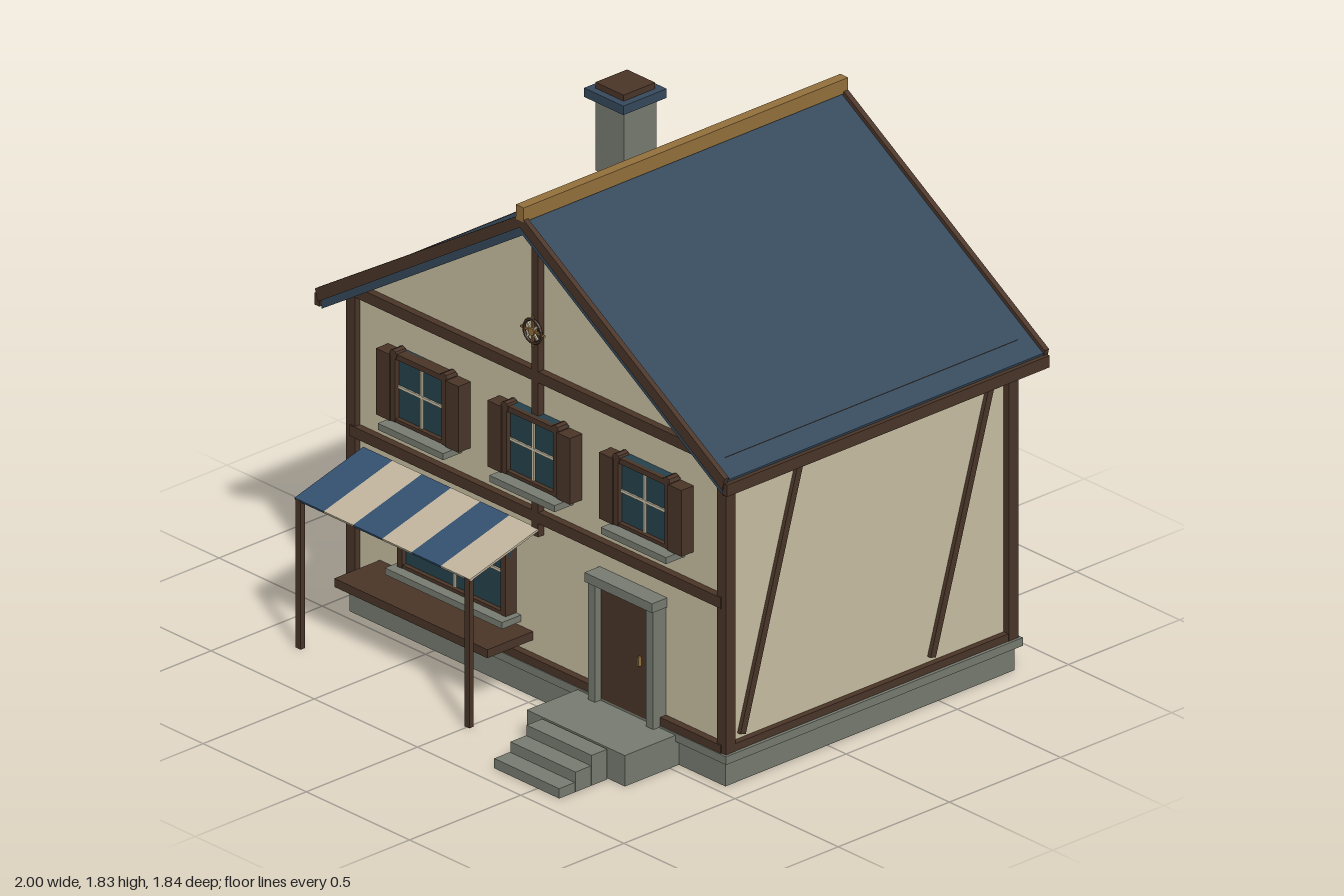
import * as THREE from 'three';

const mat = (color, side = THREE.FrontSide) => new THREE.MeshStandardMaterial({ color, side, flatShading: true });

export function createModel() {
  const house = new THREE.Group();
  house.name = 'timberHouse';
  const wall = mat(0xc8bfa2), timber = mat(0x4a3528), slate = mat(0x35495c), stone = mat(0x777b70);
  const glass = mat(0x25424d), gold = mat(0x94703c), cream = mat(0xc9bfa6);
  const awningBlue = mat(0x34506f), awningCream = mat(0xc0b49c);

  const add = (name, geo, material, parent = house) => {
    const m = new THREE.Mesh(geo, material);
    m.name = name;
    parent.add(m);
    return m;
  };
  // Box given by its extents on each axis
  const box = (name, material, x0, x1, y0, y1, z0, z1, parent = house) => {
    const m = add(name, new THREE.BoxGeometry(x1 - x0, y1 - y0, z1 - z0), material, parent);
    m.position.set((x0 + x1) / 2, (y0 + y1) / 2, (z0 + z1) / 2);
    return m;
  };
  // Outline in the xy plane, extruded from z0 to z1
  const prism = (name, material, points, z0, z1) => {
    const shape = new THREE.Shape(points.map(p => new THREE.Vector2(...p)));
    const geo = new THREE.ExtrudeGeometry(shape, { depth: z1 - z0, bevelEnabled: false });
    geo.translate(0, 0, z0);
    return add(name, geo, material);
  };

  // Foundation and walls
  box('foundation', stone, -0.91, 0.91, 0, 0.09, -0.84, 0.46);
  box('plinthLedge', stone, -0.93, 0.93, 0.09, 0.12, -0.86, 0.475);
  prism('walls', wall, [[-0.895, 0.12], [0.895, 0.12], [0.895, 1.18], [0, 1.73], [-0.895, 1.18]], -0.825, 0.445);

  // Timber frame: corner posts, side beams and leaning braces
  for (const s of [-1, 1]) {
    for (const z of [-0.828, 0.445]) {
      box('cornerPost', timber, s * 0.898 - 0.022, s * 0.898 + 0.022, 0.12, 1.19, z - 0.022, z + 0.022);
    }
    for (const [y0, y1] of [[0.12, 0.147], [1.165, 1.209]]) {
      box('sideBeam', timber, s * 0.898 - 0.02, s * 0.898 + 0.02, y0, y1, -0.85, 0.467);
    }
    for (const [zBottom, zTop] of [[0.38, 0.09], [-0.475, -0.77]]) {
      const dz = zTop - zBottom, dy = 1.01;
      const brace = add('sideBrace', new THREE.BoxGeometry(0.03, Math.hypot(dz, dy), 0.025), timber);
      brace.position.set(s * 0.895, 0.165 + dy / 2, (zBottom + zTop) / 2);
      brace.rotation.x = Math.atan2(dz, dy);
    }
  }
  // Front and back beams, gable posts
  for (const [y0, y1] of [[0.12, 0.15], [0.65, 0.69], [1.165, 1.205]]) {
    box('frontBeam', timber, -0.9, 0.9, y0, y1, 0.43, 0.472);
    box('backBeam', timber, -0.9, 0.9, y0, y1, -0.857, -0.81);
  }
  box('frontCentrePost', timber, -0.016, 0.016, 0.6, 1.725, 0.43, 0.472);
  box('backGablePost', timber, -0.016, 0.016, 1.19, 1.725, -0.852, -0.81);

  // Roof: chevron slab, verge boards, eaves boards and ridge
  const chevron = (top, depth, half, slope) => [
    [-half, top - slope * half], [0, top], [half, top - slope * half],
    [half - 0.012, top - slope * half - depth], [0, top - depth], [-half + 0.012, top - slope * half - depth],
  ].reverse();
  prism('roof', slate, chevron(1.777, 0.06, 0.985, 0.62), -0.905, 0.527);
  for (const z of [-0.92, 0.52]) prism('vergeBoard', timber, chevron(1.795, 0.045, 0.992, 0.622), z, z + 0.02);
  for (const s of [-1, 1]) box('eavesBoard', timber, s * 0.988 - 0.012, s * 0.988 + 0.012, 1.115, 1.158, -0.915, 0.535);
  box('ridgeBeam', gold, -0.019, 0.019, 1.775, 1.828, -0.92, 0.54);

  // Chimney
  box('chimneyStack', stone, -0.63, -0.49, 1.435, 1.702, -0.53, -0.385);
  box('chimneyCap', slate, -0.657, -0.467, 1.702, 1.735, -0.555, -0.36);
  box('chimneyTop', timber, -0.63, -0.494, 1.735, 1.757, -0.528, -0.386);

  // Framed window with glazing bars and sill, centred on x
  const framedWindow = (x, y0, y1, halfWidth, sillHalf, sillTop) => {
    const g = new THREE.Group();
    g.name = 'window';
    house.add(g);
    const w = halfWidth, mid = (y0 + y1) / 2;
    box('pane', glass, x - w, x + w, y0, y1, 0.44, 0.476, g);
    for (const s of [-1, 1]) {
      box('jamb', timber, x + s * (w - 0.012) - 0.012, x + s * (w - 0.012) + 0.012, y0, y1, 0.44, 0.495, g);
    }
    box('headRail', timber, x - w, x + w, y1 - 0.02, y1, 0.44, 0.493, g);
    box('footRail', timber, x - w, x + w, y0, y0 + 0.012, 0.44, 0.493, g);
    box('verticalBar', cream, x - 0.005, x + 0.005, y0 + 0.012, y1 - 0.02, 0.46, 0.483, g);
    box('crossBar', cream, x - w + 0.024, x + w - 0.024, mid - 0.005, mid + 0.005, 0.46, 0.482, g);
    box('sill', stone, x - sillHalf, x + sillHalf, sillTop - 0.024, sillTop, 0.44, 0.53, g);
    return g;
  };
  // Upper windows with shutters
  for (const x of [-0.54, 0, 0.54]) {
    const g = framedWindow(x, 0.793, 1.043, 0.137, 0.158, 0.785);
    for (const s of [-1, 1]) {
      box('shutter', timber, x + s * 0.167 - 0.033, x + s * 0.167 + 0.033, 0.793, 1.035, 0.44, 0.5, g);
      const knob = add('frameKnob', new THREE.CylinderGeometry(0.018, 0.018, 0.045, 8), timber, g);
      knob.rotation.x = Math.PI / 2;
      knob.position.set(x + s * 0.122, 1.038, 0.473);
    }
  }
  // Shop window and bench
  framedWindow(-0.38, 0.27, 0.57, 0.263, 0.284, 0.268);
  box('bench', timber, -0.78, -0.038, 0.197, 0.228, 0.44, 0.65);

  // Striped awning on two posts
  const tilt = Math.atan2(0.085, 0.31), stripe = 0.85 / 6;
  for (let i = 0; i < 6; i++) {
    const m = add('awningStripe', new THREE.BoxGeometry(stripe, 0.008, Math.hypot(0.085, 0.31)), i % 2 ? awningCream : awningBlue);
    m.position.set(-0.835 + stripe * (i + 0.5), 0.584, 0.622);
    m.rotation.x = tilt;
  }
  for (const x of [-0.817, 0]) box('awningPost', timber, x - 0.012, x + 0.012, 0, 0.543, 0.758, 0.778);

  // Door with stone surround
  box('door', timber, 0.32, 0.58, 0.12, 0.55, 0.43, 0.475);
  for (const x of [0.307, 0.59]) box('doorJamb', stone, x - 0.017, x + 0.017, 0.115, 0.55, 0.43, 0.503);
  box('doorLintel', stone, 0.285, 0.612, 0.546, 0.58, 0.43, 0.513);
  box('doorHandle', gold, 0.511, 0.519, 0.308, 0.342, 0.47, 0.487);

  // Landing and steps
  box('landing', stone, 0.21, 0.685, 0, 0.113, 0.45, 0.703);
  for (let i = 0; i < 3; i++) {
    box('step', stone, 0.29, 0.605, 0, 0.11 - i * 0.037, 0.708 + i * 0.073, 0.778 + i * 0.073);
  }

  // Gable wheel ornament
  const wheel = new THREE.Group();
  wheel.name = 'gableWheel';
  wheel.position.set(0, 1.352, 0.482);
  house.add(wheel);
  add('rim', new THREE.TorusGeometry(0.042, 0.006, 6, 20), timber, wheel);
  for (let i = 0; i < 4; i++) {
    const cross = i % 2 === 0;
    const spoke = add('spoke', new THREE.BoxGeometry(cross ? 0.115 : 0.07, 0.007, 0.007), cross ? gold : cream, wheel);
    spoke.rotation.z = i * Math.PI / 4;
  }
  const hub = add('hub', new THREE.CylinderGeometry(0.014, 0.014, 0.016, 10), gold, wheel);
  hub.rotation.x = Math.PI / 2;

  return house;
}
